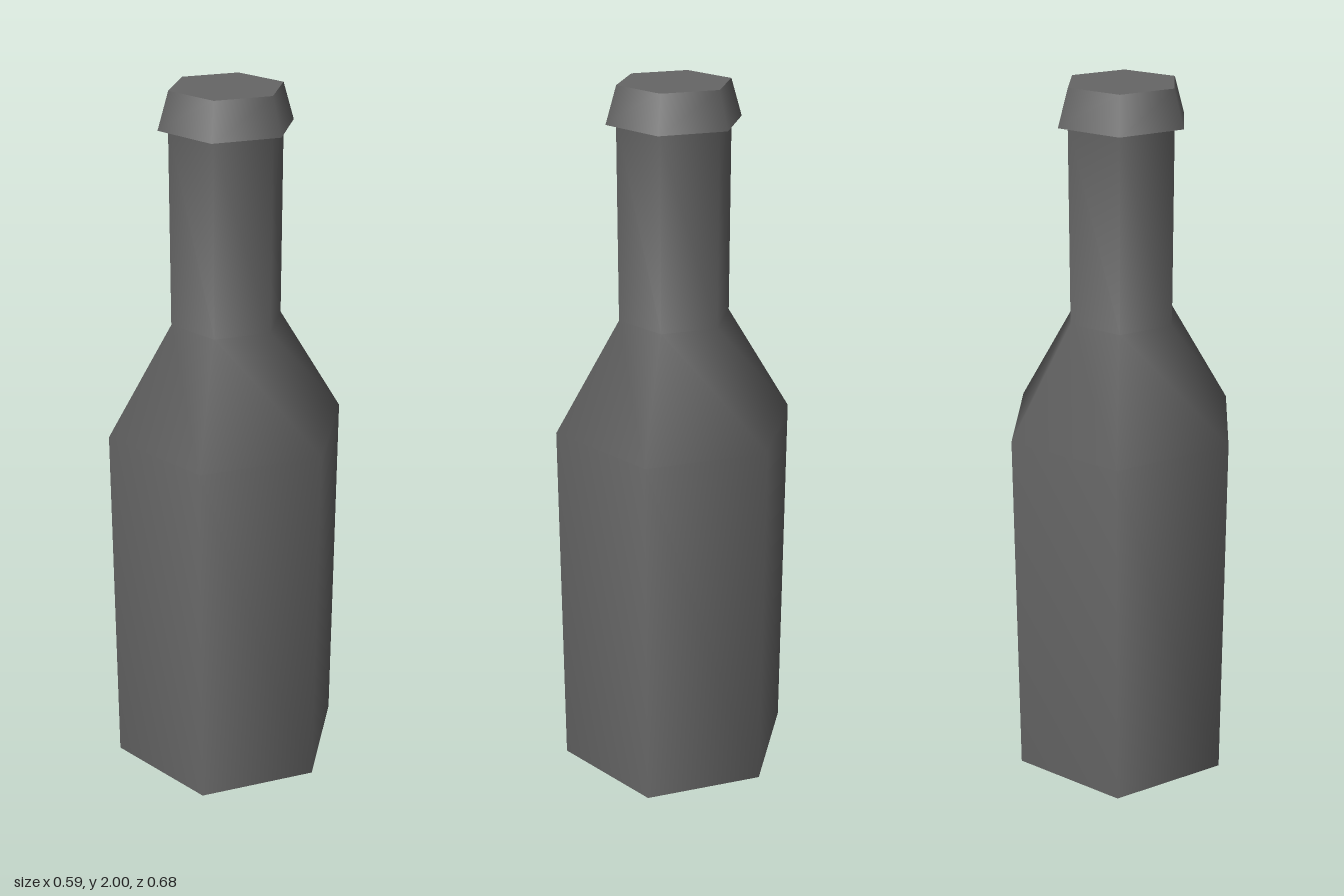
import * as THREE from 'three';

const SIDES = 6;

export function createModel() {
  const group = new THREE.Group();
  const material = new THREE.MeshStandardMaterial({ color: 0x666666 });
  const add = (name, geometry, y = 0) => {
    const mesh = new THREE.Mesh(geometry, material);
    mesh.name = name;
    mesh.position.y = y;
    group.add(mesh);
  };

  // Six-sided wall: straight body, sloping shoulder, straight neck, smooth shaded
  const profile = [[0.341, 0], [0.341, 1.055], [0.157, 1.365], [0.157, 1.905]]
    .map(([r, y]) => new THREE.Vector2(r, y));
  add('bottleBody', new THREE.LatheGeometry(profile, SIDES));

  // Flat base closing the body, corners matching the wall
  add('base', new THREE.CircleGeometry(0.341, SIDES, Math.PI / 2).rotateX(Math.PI / 2));

  // Flared cap, wider at its lower rim
  add('cap', new THREE.CylinderGeometry(0.155, 0.185, 0.1, SIDES), 1.95);

  return group;
}
